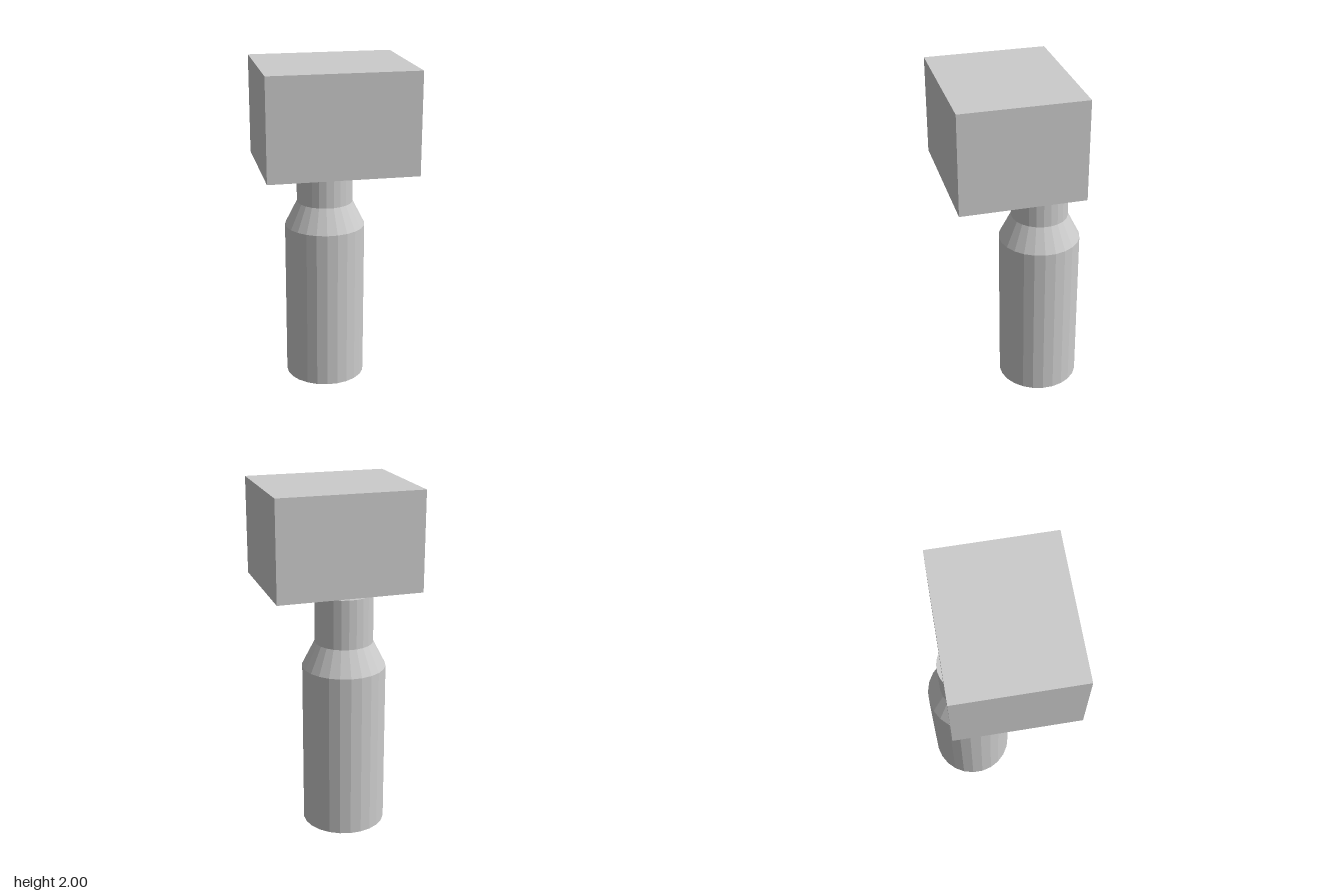
import * as THREE from 'three';

export function createModel() {
  const group = new THREE.Group();
  const grey = new THREE.MeshStandardMaterial({ color: 0xcccccc });
  grey.name = 'light grey';
  grey.flatShading = true;

  const sides = 24;
  const axisZ = -0.166;

  const add = (name, geometry, y, z) => {
    const mesh = new THREE.Mesh(geometry, grey);
    mesh.name = name;
    mesh.position.set(0, y, z);
    group.add(mesh);
  };

  // Round handle sections, turned half a step so a flat facet faces the back
  const section = (name, rTop, rBottom, y0, y1, open) => add(
    name,
    new THREE.CylinderGeometry(rTop, rBottom, y1 - y0, sides, 1, open, Math.PI / sides),
    (y0 + y1) / 2, axisZ);

  section('handle', 0.243, 0.243, 0, 0.98, false);
  section('shoulder', 0.169, 0.243, 0.98, 1.127, true);
  section('neck', 0.169, 0.169, 1.127, 1.417, false);

  // Block head, set forward of the handle
  add('head', new THREE.BoxGeometry(0.853, 0.583, 0.716), 1.7085, 0.049);

  return group;
}
